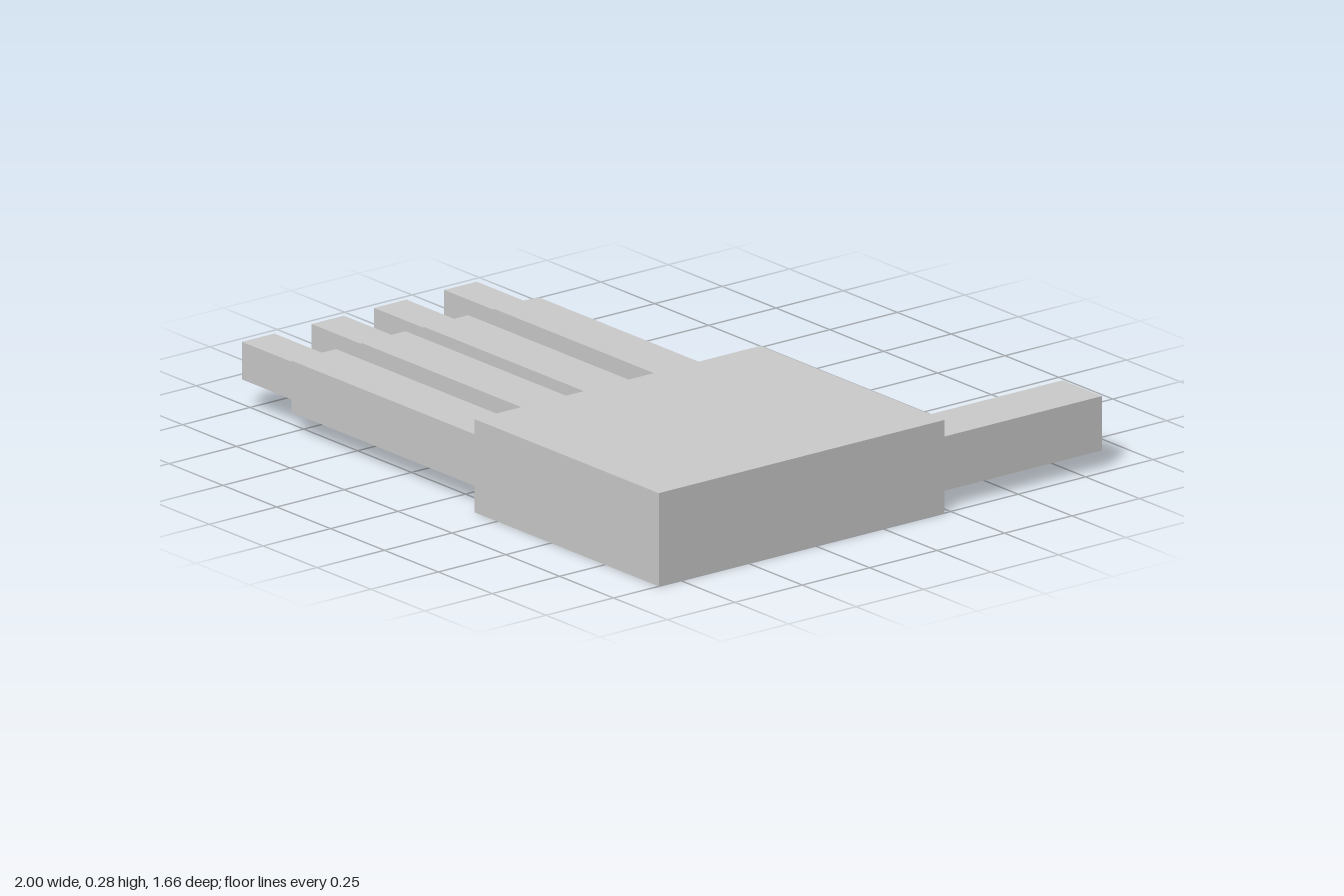
import * as THREE from 'three';

const material = new THREE.MeshStandardMaterial({ color: 0xcccccc, flatShading: true });

// Box given by its lower and upper limits on each axis
function block(name, [x0, x1], [y0, y1], [z0, z1]) {
  const mesh = new THREE.Mesh(new THREE.BoxGeometry(x1 - x0, y1 - y0, z1 - z0), material);
  mesh.name = name;
  mesh.position.set((x0 + x1) / 2, (y0 + y1) / 2, (z0 + z1) / 2);
  return mesh;
}

// Thin hinge pin lying along x or z
function hinge(name, axis, length, x, z) {
  const geometry = new THREE.CylinderGeometry(0.014, 0.014, length, 12);
  if (axis === 'x') geometry.rotateZ(Math.PI / 2);
  else geometry.rotateX(Math.PI / 2);
  const mesh = new THREE.Mesh(geometry, material);
  mesh.name = name;
  mesh.position.set(x, 0.143, z);
  return mesh;
}

export function createModel() {
  const hand = new THREE.Group();
  hand.name = 'hand';

  // Palm
  hand.add(block('palm', [0.145, 1], [0, 0.285], [-0.227, 0.832]));

  // Four fingers, each with two hinged segments
  [-0.03, 0.23, 0.462, 0.72].forEach((z, i) => {
    const finger = new THREE.Group();
    finger.name = `finger${i + 1}`;
    finger.add(
      hinge('knuckle', 'z', 0.12, 0.138, z),
      block('fingerBase', [-0.742, 0.13], [0.065, 0.223], [z - 0.083, z + 0.083]),
      hinge('fingerJoint', 'z', 0.12, -0.746, z),
      block('fingerTip', [-1, -0.75], [0.092, 0.207], [z - 0.06, z + 0.06])
    );
    hand.add(finger);
  });

  // Thumb
  const thumb = new THREE.Group();
  thumb.name = 'thumb';
  thumb.add(
    hinge('thumbJoint', 'x', 0.1, 0.883, -0.233),
    block('thumbSegment', [0.791, 0.974], [0.057, 0.223], [-0.832, -0.24])
  );
  hand.add(thumb);

  return hand;
}
